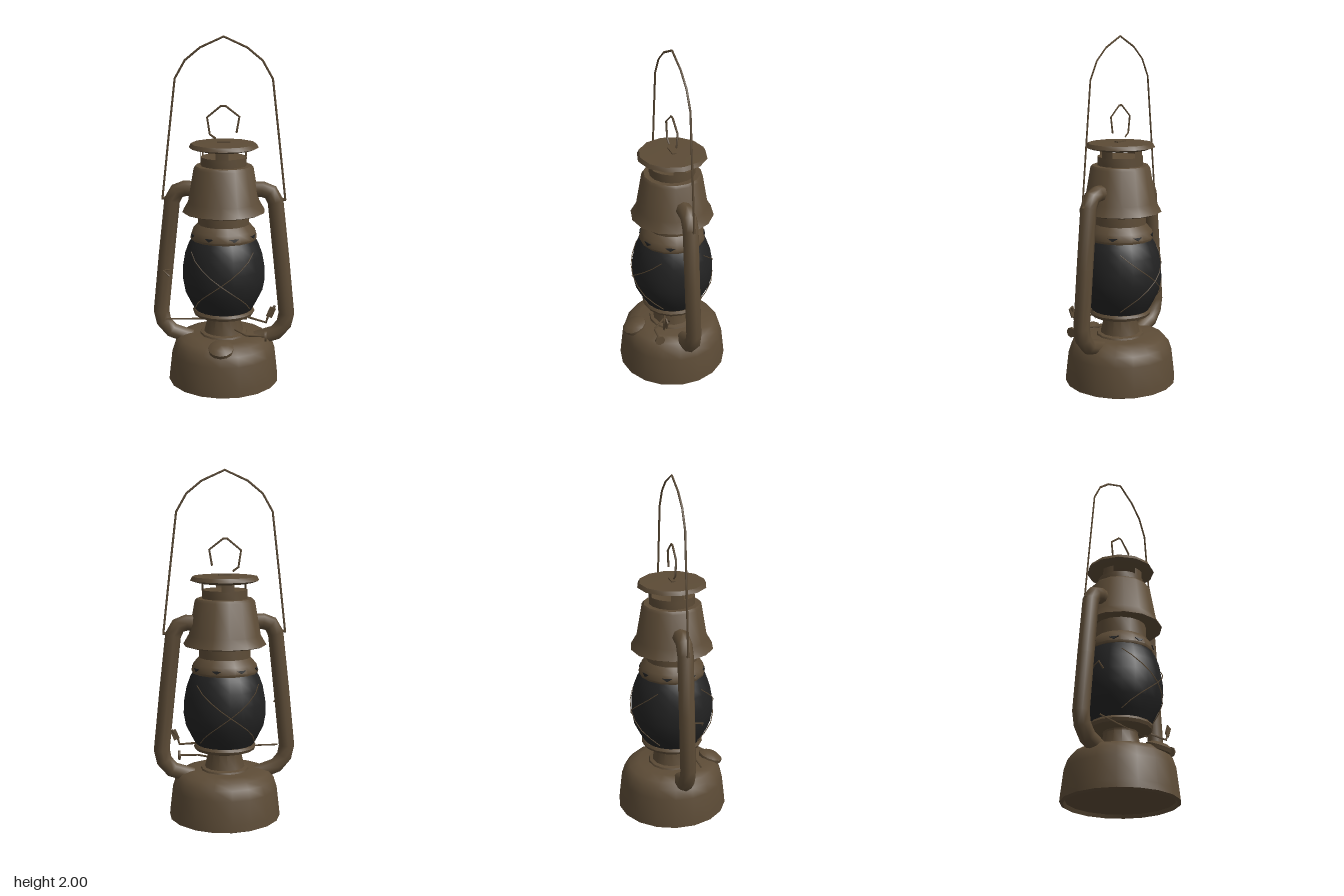
import * as THREE from 'three';
import { toCreasedNormals } from 'three/addons/utils/BufferGeometryUtils.js';

const metal = new THREE.MeshStandardMaterial({ color: 0x5c4b36 });
metal.name = 'agedBrass';
const glass = new THREE.MeshStandardMaterial({ color: 0x222222 });
glass.name = 'darkGlass';

// Curve through straight segments, with mitred corners
class Polyline extends THREE.Curve {
  constructor(points) {
    super();
    this.points = points.map((p) => new THREE.Vector3(...p));
  }
  getUtoTmapping(u) { return u; }
  getPoint(t, target = new THREE.Vector3()) {
    const last = this.points.length - 1;
    const i = Math.min(Math.floor(t * last + 1e-6), last - 1);
    return target.lerpVectors(this.points[i], this.points[i + 1], t * last - i);
  }
  getTangent(t, target = new THREE.Vector3()) {
    const p = this.points, last = p.length - 1, i = Math.round(t * last);
    target.set(0, 0, 0);
    if (i > 0) target.add(p[i].clone().sub(p[i - 1]).normalize());
    if (i < last) target.add(p[i + 1].clone().sub(p[i]).normalize());
    return target.normalize();
  }
}

export function createModel() {
  const lantern = new THREE.Group();
  lantern.name = 'lantern';

  const add = (name, geometry, material = metal) => {
    const mesh = new THREE.Mesh(geometry, material);
    mesh.name = name;
    lantern.add(mesh);
    return mesh;
  };
  const turned = (name, profile, sides, material = metal, start = 0) => {
    const points = profile.map(([r, y]) => new THREE.Vector2(r, y));
    const geometry = new THREE.LatheGeometry(points, sides, start);
    return add(name, toCreasedNormals(geometry, 0.65), material);
  };
  const tube = (name, points, radius, sides = 4) =>
    add(name, new THREE.TubeGeometry(new Polyline(points), points.length - 1, radius, sides, false));

  // Fuel tank with a slightly recessed underside
  turned('fuelTank', [[0, 0.02], [0.295, 0.02], [0.305, 0], [0.322, 0.008], [0.318, 0.05], [0.303, 0.18],
    [0.285, 0.235], [0.255, 0.268], [0.2, 0.285], [0, 0.285]], 18);
  turned('burnerCone', [[0.145, 0.27], [0.135, 0.295], [0.115, 0.3], [0.095, 0.385], [0.1, 0.4], [0, 0.4]], 14);
  turned('globeSeat', [[0, 0.395], [0.13, 0.395], [0.172, 0.408], [0.18, 0.425], [0.172, 0.44], [0, 0.445]], 16);

  // Glass globe
  const globe = [[0.165, 0.435], [0.19, 0.48], [0.225, 0.55], [0.238, 0.62], [0.236, 0.69],
    [0.222, 0.77], [0.2, 0.83], [0.178, 0.865]];
  turned('glassGlobe', globe, 20, glass);
  const globeRadius = (y) => {
    const i = Math.max(1, globe.findIndex((p) => p[1] >= y));
    const [[r0, y0], [r1, y1]] = [globe[i - 1], globe[i]];
    return r0 + (r1 - r0) * (y - y0) / (y1 - y0);
  };

  // Crossed guard wires on the front and back of the globe
  for (const facing of [0, Math.PI]) {
    for (const s of [1, -1]) {
      const points = [];
      for (let i = 0; i <= 8; i++) {
        const y = 0.47 + i * 0.042;
        const angle = facing + s * (i / 4 - 1) * 0.95;
        const r = globeRadius(y) + 0.006;
        points.push([r * Math.sin(angle), y, r * Math.cos(angle)]);
      }
      tube('guardWire', points, 0.003, 3);
    }
  }

  // Collar above the globe, with a ring of small vents
  turned('globeCollar', [[0.16, 0.855], [0.188, 0.857], [0.192, 0.87], [0.18, 0.91], [0.148, 0.945],
    [0.145, 1.04]], 16, metal, Math.PI / 16);
  const ventShape = new THREE.Shape([[-0.028, 0.008], [0, -0.01], [0.028, 0.008]]
    .map(([x, y]) => new THREE.Vector2(x, y)));
  for (let i = 0; i < 8; i++) {
    const angle = (i + 0.5) * Math.PI / 4;
    const vent = add('collarVent', new THREE.ExtrudeGeometry(ventShape, { depth: 0.006, bevelEnabled: false }), glass);
    vent.position.set(0.183 * Math.sin(angle), 0.883, 0.183 * Math.cos(angle));
    vent.rotation.set(-0.2, angle, 0, 'YXZ');
  }

  // Flared hood, chimney ring and lid
  turned('hood', [[0.14, 1.03], [0.225, 1.012], [0.238, 1.018], [0.205, 1.075], [0.172, 1.265],
    [0.16, 1.28], [0, 1.285]], 14);
  turned('chimneyRing', [[0.115, 1.275], [0.13, 1.28], [0.13, 1.33], [0, 1.33]], 16);
  for (let i = 0; i < 4; i++) {
    const post = new THREE.CylinderGeometry(0.13, 0.13, 0.055, 3, 1, true, i * Math.PI / 2 - 0.28, 0.56);
    const inner = new THREE.CylinderGeometry(0.122, 0.122, 0.055, 3, 1, true, i * Math.PI / 2 - 0.28, 0.56);
    inner.index.array.reverse();
    add('chimneyPost', post).position.y = 1.352;
    add('chimneyPostInside', inner).position.y = 1.352;
  }
  turned('lid', [[0, 1.368], [0.135, 1.366], [0.165, 1.372], [0.197, 1.383], [0.185, 1.405],
    [0.1, 1.408], [0, 1.41]], 12);
  add('lidBracket', new THREE.BoxGeometry(0.075, 0.012, 0.024)).position.y = 1.411;

  // Wire loop standing over the lid
  tube('lidLoop', [[-0.045, 1.432, 0], [-0.078, 1.455, 0], [-0.093, 1.55, 0], [-0.015, 1.615, 0],
    [0.01, 1.615, 0], [0.088, 1.555, 0], [0.072, 1.465, 0]], 0.006);

  // Side air tubes with bail lugs, mirrored
  for (const s of [1, -1]) {
    const side = s > 0 ? 'left' : 'right';
    tube(`${side}AirTube`, [[0.15, 1.14, 0], [0.22, 1.145, 0], [0.266, 1.128, 0], [0.295, 1.075, 0],
      [0.332, 0.74, 0], [0.366, 0.41, 0], [0.352, 0.345, 0], [0.305, 0.29, 0], [0.19, 0.25, 0]]
      .map(([x, y, z]) => [s * x, y, z]), 0.046, 8);
    tube(`${side}BailLug`, [[s * 0.31, 1.09, 0], [s * 0.355, 1.085, 0]], 0.008);
  }

  // Carrying bail
  const bailHalf = [[0.35, 1.085], [0.31, 1.44], [0.272, 1.765], [0.215, 1.865], [0.13, 1.935]];
  tube('bail', [...bailHalf.map(([x, y]) => [-x, y, 0]), [0, 1.994, 0],
    ...bailHalf.slice().reverse().map(([x, y]) => [x, y, 0])], 0.006);

  // Tilted filler cap on the front of the tank
  const cap = turned('fillerCap', [[0.05, -0.05], [0.05, 0], [0.07, 0.004], [0.072, 0.025],
    [0.045, 0.042], [0, 0.045]], 12);
  cap.position.set(0, 0.255, 0.235);
  cap.rotation.x = 0.35;

  // Wick crank and globe lifter
  tube('wickCrank', [[0.07, 0.33, 0.08], [0.14, 0.325, 0.16], [0.25, 0.325, 0.165]], 0.006);
  const knob = add('wickKnob', new THREE.CylinderGeometry(0.03, 0.03, 0.012, 8));
  knob.position.set(0.25, 0.325, 0.165);
  knob.rotation.z = Math.PI / 2;
  tube('globeLifter', [[0.15, 0.415, 0.1], [0.25, 0.4, 0.14], [0.265, 0.45, 0.14], [0.3, 0.495, 0.12]], 0.007);
  const thumbPlate = add('lifterPlate', new THREE.BoxGeometry(0.035, 0.06, 0.008));
  thumbPlate.position.set(0.278, 0.46, 0.135);
  thumbPlate.rotation.z = -0.4;
  tube('lifterRod', [[-0.33, 0.39, 0.09], [-0.15, 0.393, 0.08], [0.14, 0.4, 0.08]], 0.005);
  tube('tubeHook', [[-0.31, 0.67, 0.03], [-0.34, 0.68, 0.09], [-0.305, 0.65, 0.095]], 0.005);

  return lantern;
}
